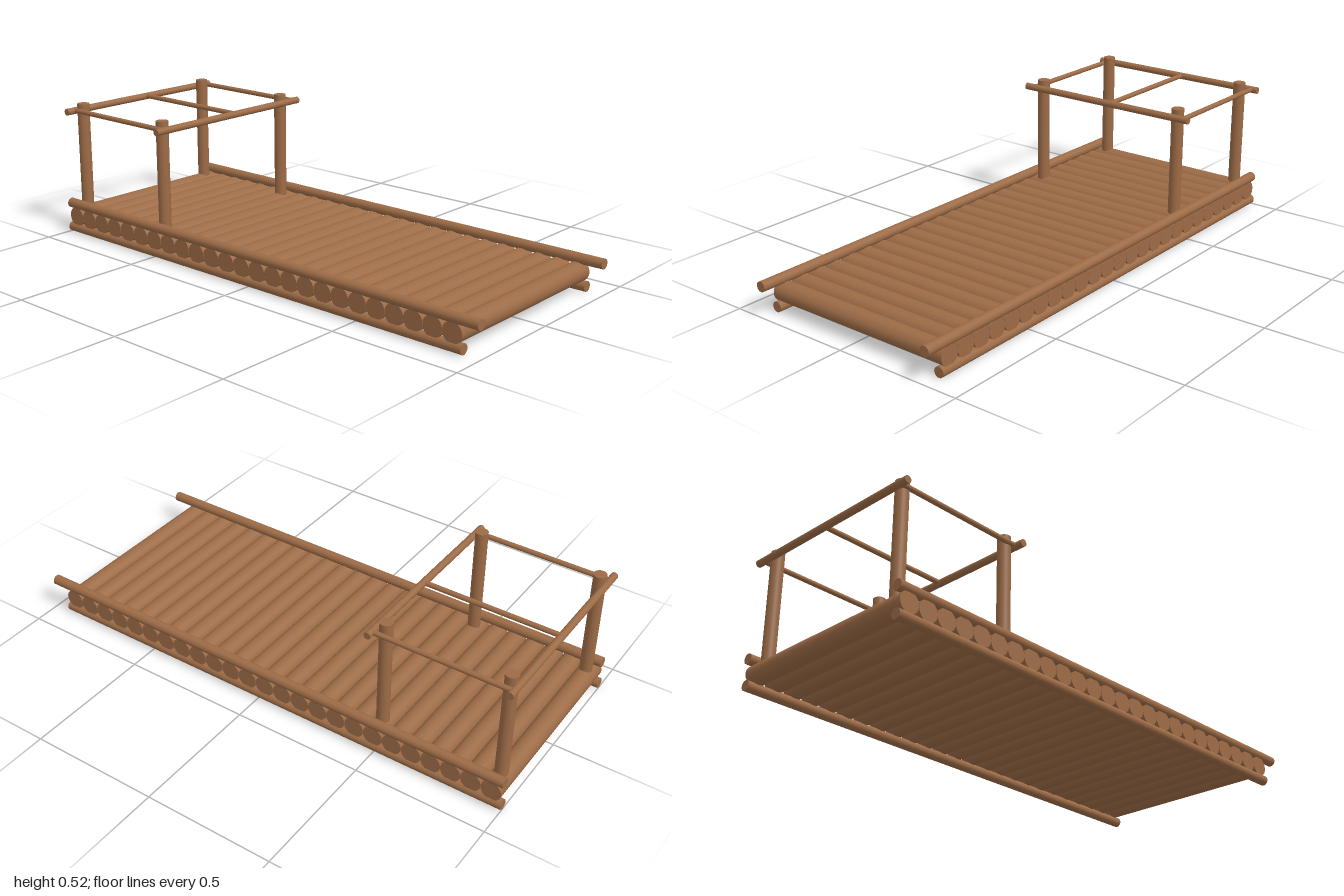
import * as THREE from 'three';

export function createModel() {
  const model = new THREE.Group();
  model.name = 'logRaft';
  const wood = new THREE.MeshStandardMaterial({ color: 0x9c6b46 });

  // Round log of radius r running from a to b
  function log(name, r, a, b, parent = model) {
    const start = new THREE.Vector3(...a), end = new THREE.Vector3(...b);
    const dir = end.clone().sub(start);
    const mesh = new THREE.Mesh(new THREE.CylinderGeometry(r, r, dir.length(), 32), wood);
    mesh.name = name;
    mesh.position.copy(start).add(end).multiplyScalar(0.5);
    mesh.quaternion.setFromUnitVectors(new THREE.Vector3(0, 1, 0), dir.normalize());
    parent.add(mesh);
  }

  // Deck of logs laid side by side
  const deck = new THREE.Group();
  deck.name = 'deck';
  model.add(deck);
  for (let i = 0; i < 25; i++) {
    const x = -0.957 + i * 0.0773;
    log('deckLog', 0.0385, [x, 0.069, -0.388], [x, 0.069, 0.388], deck);
  }

  // Long rails clamping the deck from below and above
  for (const z of [-0.376, 0.376]) {
    log('lowerRail', 0.0195, [-1, 0.0195, z], [0.937, 0.0195, z]);
    log('upperRail', 0.0195, [-1, 0.118, z], [1, 0.118, z]);
  }

  // Shelter frame: four posts, two cross poles, three thin roof poles
  const frame = new THREE.Group();
  frame.name = 'shelterFrame';
  model.add(frame);
  for (const x of [-0.957, -0.493])
    for (const z of [-0.32, 0.327])
      log('post', 0.024, [x, 0.09, z], [x, 0.525, z], frame);
  for (const x of [-0.986, -0.46])
    log('crossPole', 0.0135, [x, 0.495, -0.388], [x, 0.495, 0.388], frame);
  for (const z of [-0.362, -0.027, 0.35])
    log('roofPole', 0.0095, [-0.986, 0.497, z], [-0.46, 0.497, z], frame);

  return model;
}
